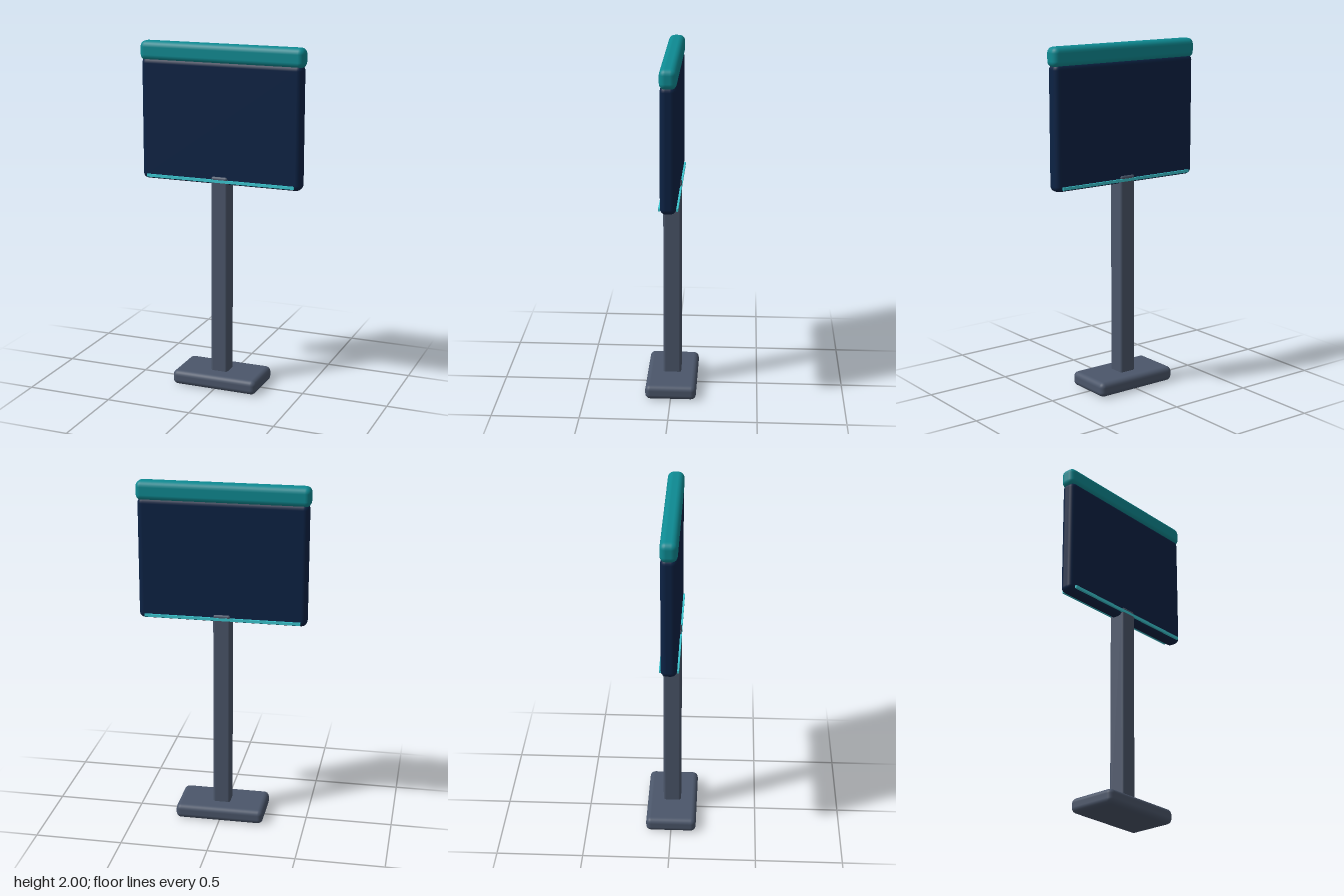
import * as THREE from 'three';
import { RoundedBoxGeometry } from 'three/addons/geometries/RoundedBoxGeometry.js';

export function createModel() {
  const model = new THREE.Group();
  model.name = 'signPost';

  const material = (name, color) => {
    const m = new THREE.MeshStandardMaterial({ color });
    m.name = name;
    return m;
  };
  const slate = material('slate grey', 0x4b566a);
  const navy = material('navy', 0x0c2244);
  const teal = material('teal', 0x0e8a92);
  const cyan = material('bright cyan', 0x3cc8d2);

  // Box with softened edges, placed by its bottom height
  const roundedBox = (name, mat, w, h, d, bottom, radius) => {
    const mesh = new THREE.Mesh(new RoundedBoxGeometry(w, h, d, 3, radius), mat);
    mesh.name = name;
    mesh.position.y = bottom + h / 2;
    model.add(mesh);
  };

  // Foot and post
  roundedBox('base', slate, 0.516, 0.085, 0.294, 0.005, 0.03);
  roundedBox('post', slate, 0.1, 1.19, 0.104, 0.065, 0.014);

  // Board with a rounded cap along the top
  roundedBox('board', navy, 0.96, 0.7, 0.088, 1.207, 0.032);
  roundedBox('topCap', teal, 0.978, 0.112, 0.094, 1.888, 0.034);

  // Light strips along the lower edge, front and back
  for (const side of [1, -1]) {
    const strip = new THREE.Mesh(new THREE.BoxGeometry(0.89, 0.016, 0.012), cyan);
    strip.name = side > 0 ? 'frontStrip' : 'backStrip';
    strip.position.set(0, 1.229, side * 0.048);
    model.add(strip);
  }

  return model;
}
